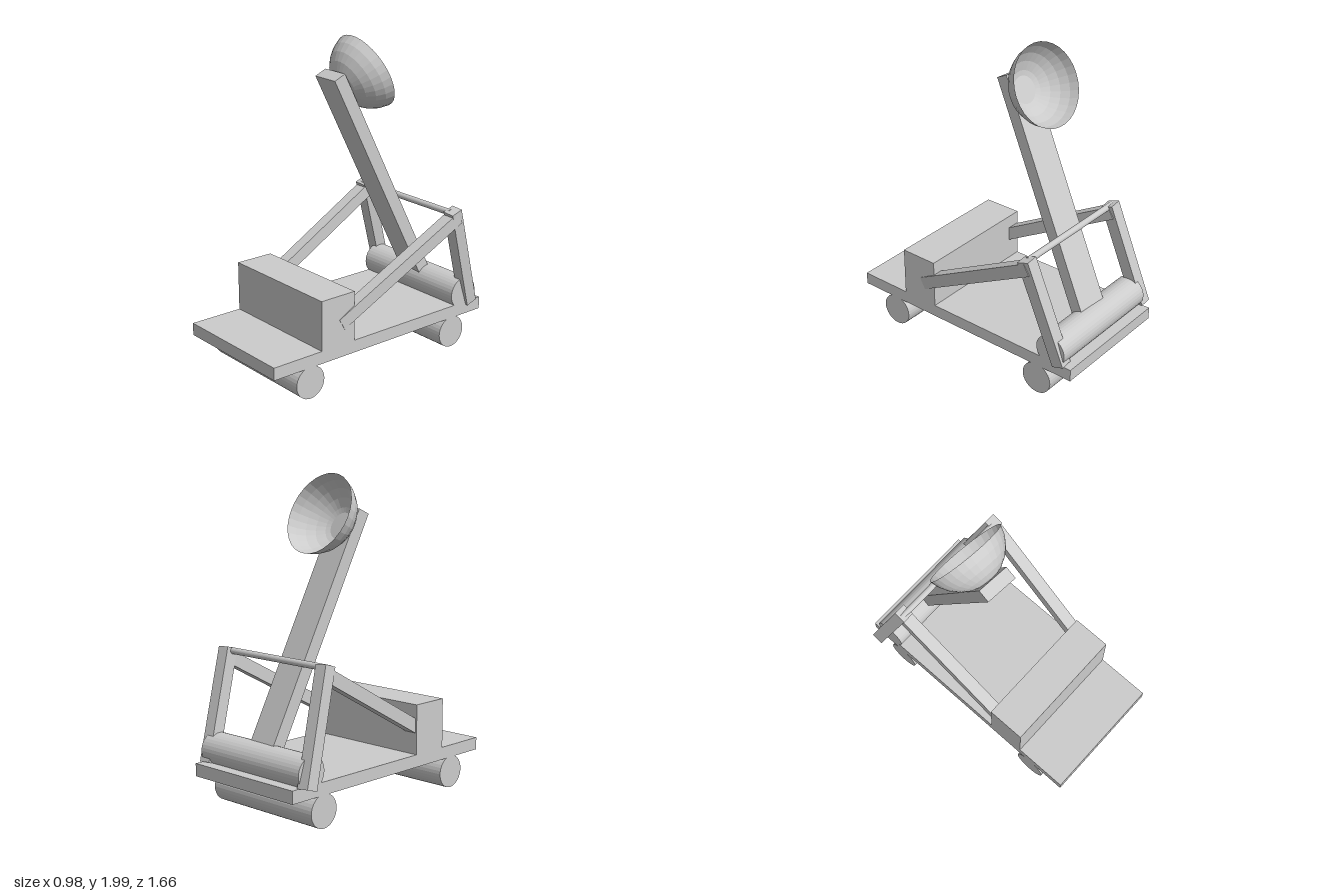
import * as THREE from 'three';

const material = new THREE.MeshStandardMaterial({ color: 0xcccccc, flatShading: true });
const shellMaterial = new THREE.MeshStandardMaterial({
  color: 0xcccccc, flatShading: true, side: THREE.DoubleSide,
});

const CENTER_X = -0.01;
const WIDTH = 0.83;

export function createModel() {
  const model = new THREE.Group();
  model.name = 'catapult';

  const add = (name, geometry, parent = model, mat = material) => {
    const mesh = new THREE.Mesh(geometry, mat);
    mesh.name = name;
    parent.add(mesh);
    return mesh;
  };

  // Box spanning the full width between two heights and two depths
  const slab = (name, y0, y1, z0, z1) =>
    add(name, new THREE.BoxGeometry(WIDTH, y1 - y0, z1 - z0))
      .position.set(CENTER_X, (y0 + y1) / 2, (z0 + z1) / 2);

  // Cylinder lying along x
  const roller = (name, radius, length, x, y, z) =>
    add(name, new THREE.CylinderGeometry(radius, radius, length, 32).rotateZ(Math.PI / 2))
      .position.set(x, y, z);

  // Group whose +y runs from one point to another, with +x close to the side vector
  const beam = (name, from, to, width, depth, side = [1, 0, 0]) => {
    const start = new THREE.Vector3(...from);
    const up = new THREE.Vector3(...to).sub(start);
    const length = up.length();
    up.normalize();
    const front = new THREE.Vector3(...side).cross(up).normalize();
    const right = up.clone().cross(front);
    const group = new THREE.Group();
    group.name = name;
    group.position.copy(start);
    group.quaternion.setFromRotationMatrix(new THREE.Matrix4().makeBasis(right, up, front));
    add(name + 'Beam', new THREE.BoxGeometry(width, length, depth), group).position.y = length / 2;
    model.add(group);
    return { group, length };
  };

  // Wheeled base
  slab('deck', 0.197, 0.276, -0.83, 0.83);
  slab('frontBlock', 0.276, 0.59, 0.23, 0.48);
  roller('frontWheelRoller', 0.103, WIDTH, CENTER_X, 0.103, 0.566);
  roller('rearWheelRoller', 0.103, WIDTH, CENTER_X, 0.103, -0.58);
  roller('armDrum', 0.103, WIDTH, CENTER_X, 0.345, -0.68);

  // Leaning side frames
  beam('leftPost', [0.38, 0.268, -0.745], [0.442, 0.937, -0.527], 0.08, 0.08);
  beam('rightPost', [-0.455, 0.268, -0.745], [-0.387, 0.937, -0.527], 0.08, 0.08);
  beam('leftBrace', [0.368, 0.405, 0.325], [0.442, 0.896, -0.558], 0.08, 0.08);
  beam('rightBrace', [-0.373, 0.405, 0.325], [-0.387, 0.896, -0.558], 0.08, 0.08);
  roller('crossbar', 0.02, 0.84, 0.005, 0.922, -0.525);

  // Throwing arm with its bowl
  const arm = beam('throwingArm', [-0.014, 0.345, -0.68], [-0.097, 1.771, 0.002], 0.207, 0.082,
    [1, 0.025, 0.088]);
  const capAngle = THREE.MathUtils.degToRad(79);
  const bowl = add('bowl',
    new THREE.SphereGeometry(0.26, 32, 6, 0, Math.PI * 2, Math.PI - capAngle, capAngle)
      .rotateX(-Math.PI / 2),
    arm.group, shellMaterial);
  bowl.position.set(0, arm.length - 0.12, -0.285);

  return model;
}
